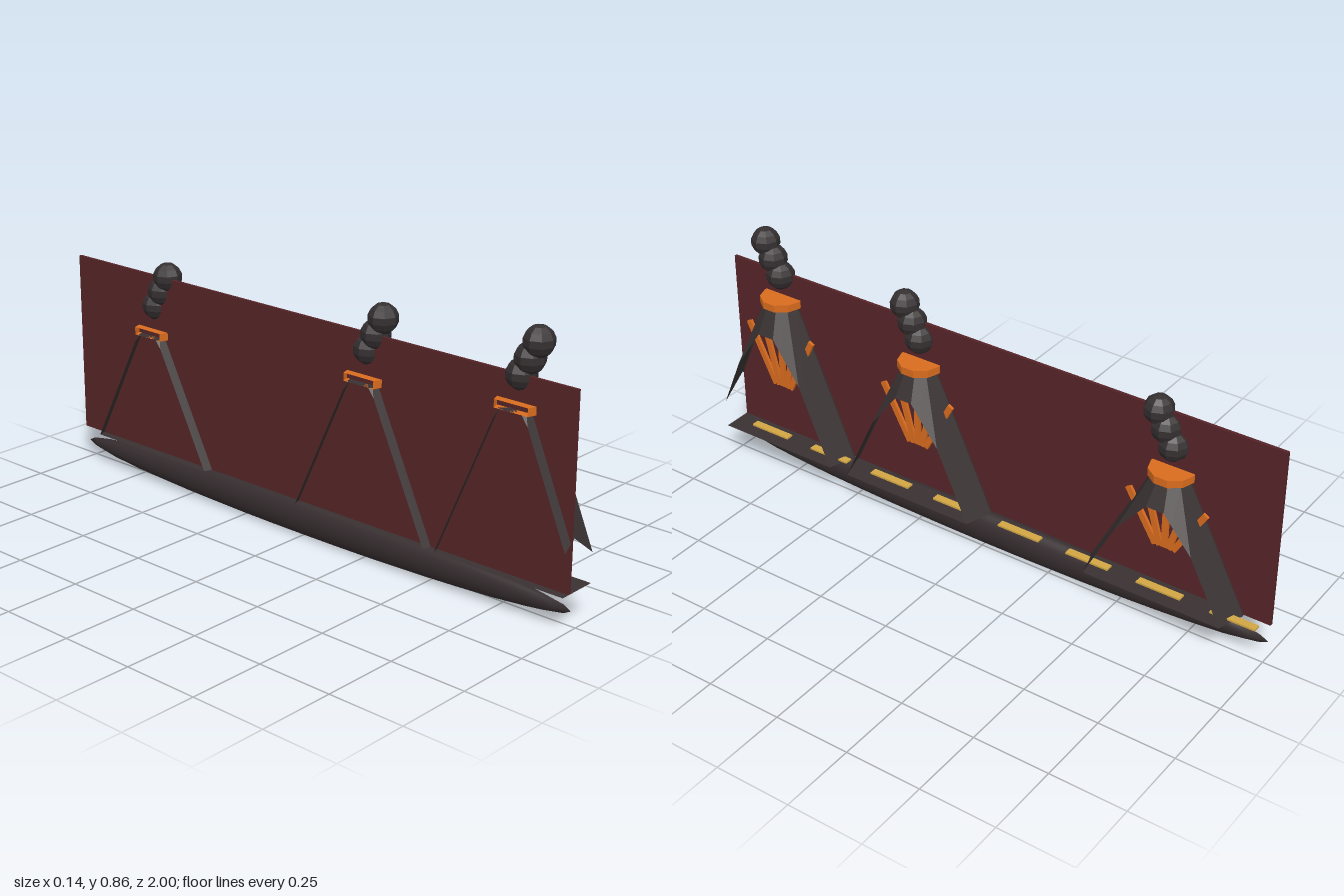
import * as THREE from 'three';

const mat = (name, color, double = false) => {
  const m = new THREE.MeshStandardMaterial({ color, flatShading: true });
  m.name = name;
  if (double) m.side = THREE.DoubleSide;
  return m;
};

// Cuts a geometry by axis planes [axis, limit, sign]; the cut stays open
function clip(geometry, planes) {
  const p = geometry.toNonIndexed().attributes.position;
  const out = [];
  for (let i = 0; i < p.count; i += 3) {
    let poly = [0, 1, 2].map(k => new THREE.Vector3().fromBufferAttribute(p, i + k));
    for (const [axis, limit, sign] of planes) {
      const next = [];
      poly.forEach((a, k) => {
        const b = poly[(k + 1) % poly.length];
        const da = (limit - a[axis]) * sign, db = (limit - b[axis]) * sign;
        if (da >= 0) next.push(a);
        if (da * db < 0) next.push(a.clone().lerp(b, da / (da - db)));
      });
      poly = next;
    }
    for (let k = 1; k + 1 < poly.length; k++) {
      for (const v of [poly[0], poly[k], poly[k + 1]]) out.push(v.x, v.y, v.z);
    }
  }
  const g = new THREE.BufferGeometry();
  g.setAttribute('position', new THREE.Float32BufferAttribute(out, 3));
  g.computeVertexNormals();
  return g;
}

export function createModel() {
  const model = new THREE.Group();
  const rock = mat('dark rock', 0x3a3232, true);
  const smoke = mat('smoke', 0x353031);
  const lava = mat('lava orange', 0xd96c1e, true);
  const panelRed = mat('dark red', 0x562427);
  const gold = mat('gold', 0xd2a643);
  const ridgeMat = mat('ridge rock', 0x362d2f);
  ridgeMat.flatShading = false;

  const add = (parent, name, geometry, material, x = 0, y = 0, z = 0) => {
    const mesh = new THREE.Mesh(geometry, material);
    mesh.name = name;
    mesh.position.set(x, y, z);
    parent.add(mesh);
    return mesh;
  };

  const axisX = -0.025, base = 0.115;
  const slab = [['x', 0.067, 1], ['x', -0.068, -1], ['z', 1, 1]];

  // Spindle-shaped ridge and the thin upright panel
  const ridge = new THREE.SphereGeometry(1, 20, 14).scale(0.039, 0.06, 1);
  add(model, 'ridge', ridge, ridgeMat, axisX, 0.06, 0);
  add(model, 'backPanel', new THREE.BoxGeometry(0.01, 0.6, 2), panelRed, -0.036, 0.415, 0);

  // Row of gold dashes
  for (let i = 0; i < 8; i++) {
    add(model, 'goldDash', new THREE.BoxGeometry(0.026, 0.006, 0.15), gold, 0.017, 0.127, -0.905 + i * 0.25);
  }

  // Volcanoes: [z, top height, base radius]
  for (const [z, top, radius] of [[0.8, 0.61, 0.27], [0.25, 0.56, 0.267], [-0.65, 0.51, 0.263]]) {
    const volcano = new THREE.Group();
    volcano.name = 'volcano';
    model.add(volcano);
    const h = top - base;

    // Cone shell, sliced open at both sides
    const cone = new THREE.CylinderGeometry(0.06, radius, h, 10).translate(axisX, base + h / 2, z);
    add(volcano, 'coneShell', clip(cone, slab), rock);

    // Crater rim
    const rim = new THREE.CylinderGeometry(0.072, 0.072, 0.025, 10).translate(axisX, top + 0.0125, z);
    add(volcano, 'craterRim', clip(rim, slab), lava);

    // Fan of lava streaks, the outer ones piercing the shell
    for (let i = -2; i <= 2; i++) {
      const z0 = i * 0.015, z1 = i * 0.065;
      const y0 = base + h * 0.385, y1 = base + h * (0.83 - Math.abs(i) * 0.015);
      const length = Math.hypot(z1 - z0, y1 - y0);
      const streak = add(volcano, 'lavaStreak', new THREE.BoxGeometry(0.01, length, 0.02), lava,
        -0.004, (y0 + y1) / 2, z + (z0 + z1) / 2);
      streak.rotation.x = Math.atan2(z1 - z0, y1 - y0);
    }

    // Rising smoke puffs
    for (let i = 0; i < 3; i++) {
      add(volcano, 'smokePuff', new THREE.SphereGeometry(0.047, 8, 7), smoke,
        axisX + 0.002, top + 0.1 + i * 0.0525, z + i * 0.027);
    }
  }
  return model;
}
